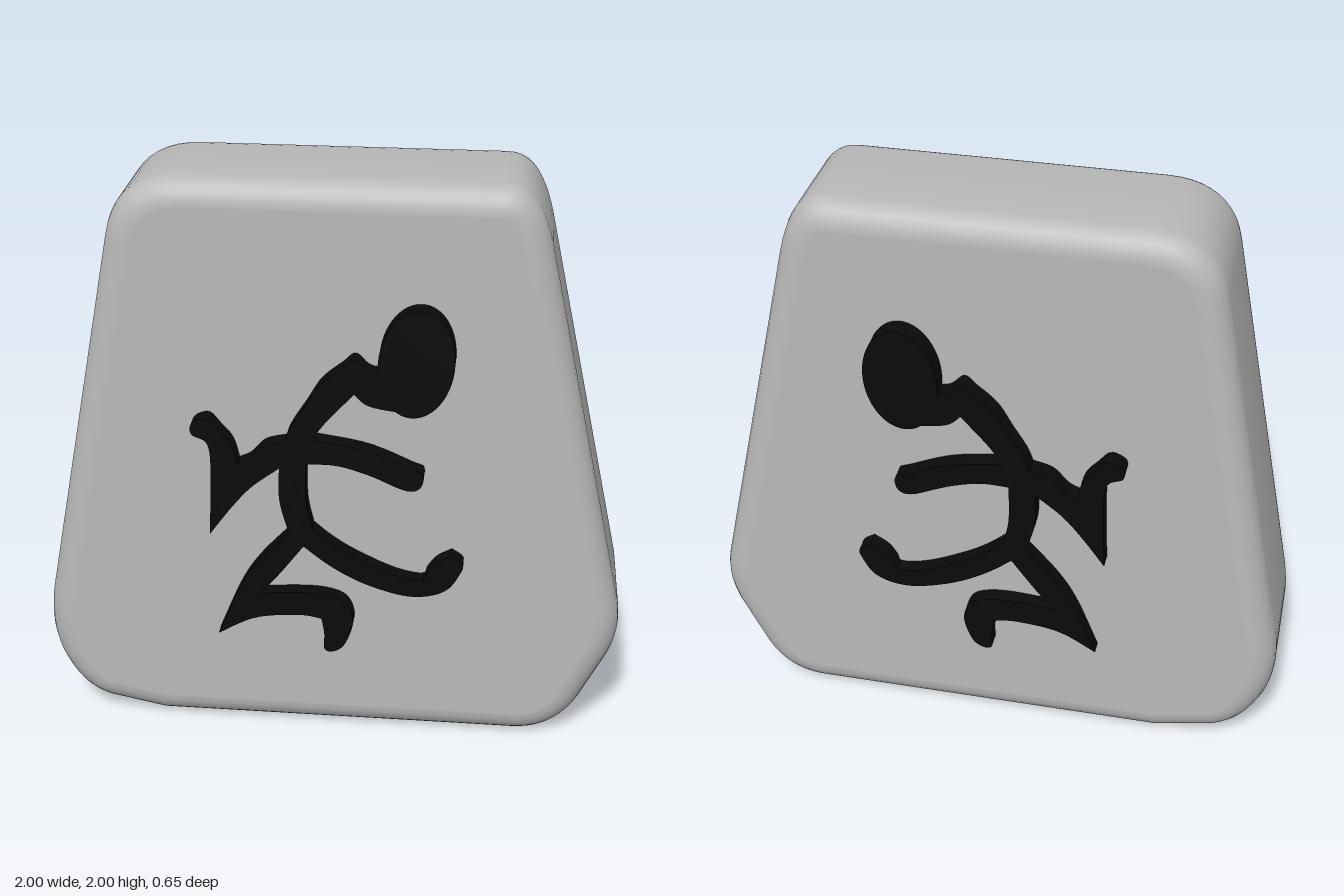
import * as THREE from 'three';
import { toCreasedNormals } from 'three/addons/utils/BufferGeometryUtils.js';

const stoneGrey = new THREE.MeshStandardMaterial({ color: 0xb8b8b8 });
const inkBlack = new THREE.MeshStandardMaterial({ color: 0x0a0a0a });

// Rounded, slightly lopsided tablet, a little thinner towards the top
function makeTablet() {
  const s = new THREE.Shape();
  s.moveTo(-0.6, 0);
  s.lineTo(0.65, 0);
  s.bezierCurveTo(0.75, 0, 0.83, 0.05, 0.88, 0.14);
  s.lineTo(0.97, 0.32);
  s.bezierCurveTo(1.0, 0.39, 1.01, 0.46, 0.99, 0.54);
  s.lineTo(0.71, 1.8);
  s.bezierCurveTo(0.68, 1.92, 0.64, 2, 0.55, 2);
  s.lineTo(-0.48, 2);
  s.bezierCurveTo(-0.62, 2, -0.71, 1.93, -0.735, 1.8);
  s.lineTo(-0.99, 0.48);
  s.bezierCurveTo(-1.01, 0.36, -1.0, 0.27, -0.96, 0.19);
  s.bezierCurveTo(-0.92, 0.11, -0.87, 0.06, -0.8, 0.04);
  s.closePath();

  const bevel = 0.09, half = 0.28, taper = 0.015;
  const geo = new THREE.ExtrudeGeometry(s, {
    depth: 2 * (half - bevel), bevelEnabled: true, bevelThickness: bevel,
    bevelSize: bevel, bevelOffset: -bevel, bevelSegments: 6, curveSegments: 10,
  });
  geo.translate(0, 0, bevel - half);
  const p = geo.attributes.position;
  for (let i = 0; i < p.count; i++) p.setZ(i, p.getZ(i) * (1 - taper * p.getY(i) / half));
  const smooth = toCreasedNormals(geo, 0.7);

  // Keep the two broad faces perfectly flat
  const { start, count } = smooth.groups[0];
  const n = smooth.attributes.normal, q = smooth.attributes.position;
  for (let i = start; i < start + count; i++) n.setXYZ(i, 0, taper, Math.sign(q.getZ(i)));
  return smooth;
}

// Figure outline in hundredths; corners fall between the listed edges
const figureEdges = [
  [14, 140, 9, 144, 5, 141, -2, 135, -7, 127, -12, 119, -14, 114],       // neck and back
  [-21, 112, -26, 107, -30, 105],                                        // rear arm, upper edge
  [-32, 112, -36, 117, -40, 121, -45, 119, -45, 115, -40, 112, -39, 102, -40, 78], // rear hand
  [-32, 89, -25, 97, -16, 104],                                          // rear arm, lower edge
  [-16, 92, -13, 80],                                                    // waist
  [-23, 69, -30, 58, -38, 39],                                           // rear thigh
  [-25, 46, -10, 48, -2, 47],                                            // rear shin, lower edge
  [-1, 41, -1, 35, 2, 34, 6, 37, 9, 46, 7, 53, 2, 56, -7, 57, -23, 56],  // rear foot
  [-17, 63, -8, 75],                                                     // inner thigh
  [1, 68, 12, 62, 25, 58, 34, 58, 41, 61, 45, 67, 46, 71, 42, 74],       // front leg, lower edge
  [37, 71, 34, 67, 32, 64, 22, 66, 9, 72, 1, 77, -5, 82],                // front leg, upper edge
  [-7, 92, -7, 106],                                                     // belly
  [3, 106, 14, 103, 26, 98, 31, 99, 32, 104, 28, 106, 13, 112, -5, 115], // front arm
  [0, 122, 9, 132],                                                      // chest
  [14, 128, 26, 126],                                                    // throat
];

function bodyShape() {
  const s = new THREE.Shape();
  s.moveTo(0.22, 1.39);
  for (const edge of figureEdges) {
    const pts = [];
    for (let i = 0; i < edge.length; i += 2) pts.push(new THREE.Vector2(edge[i] / 100, edge[i + 1] / 100));
    s.splineThru(pts);
  }
  s.closePath();
  return s;
}

function headShape() {
  return new THREE.Shape().absellipse(0.29, 1.43, 0.124, 0.186, 0, Math.PI * 2, false, -0.1);
}

function plate(shape, segments) {
  const geo = new THREE.ExtrudeGeometry(shape, { depth: 0.125, bevelEnabled: false, curveSegments: segments });
  return toCreasedNormals(geo, 0.6);
}

export function createModel() {
  const model = new THREE.Group();
  const add = (name, geo, mat, z = 0) => {
    const mesh = new THREE.Mesh(geo, mat);
    mesh.name = name;
    mesh.position.z = z;
    model.add(mesh);
  };

  add('stoneTablet', makeTablet(), stoneGrey);

  // Raised running figure on both faces
  const body = plate(bodyShape(), 4);
  const head = plate(headShape(), 40);
  for (const [side, z] of [['front', 0.2], ['back', -0.325]]) {
    add(side + 'FigureBody', body, inkBlack, z);
    add(side + 'FigureHead', head, inkBlack, z);
  }
  return model;
}
